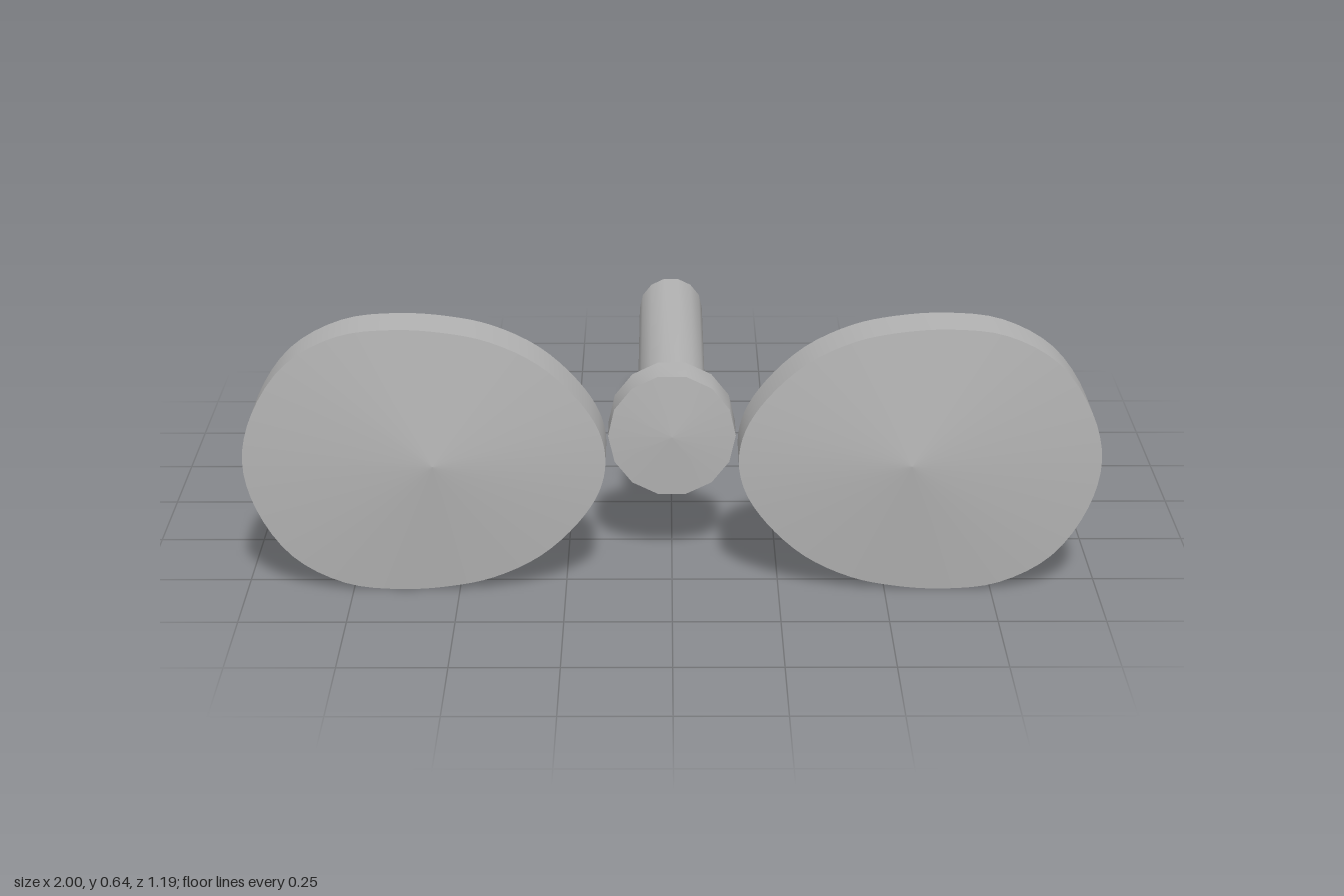
import * as THREE from 'three';
import { mergeGeometries } from 'three/addons/utils/BufferGeometryUtils.js';

const MID_Y = 0.325;

// Skins scaled copies of an outline from front to back; each band keeps its own
// normals, so bands are smooth around and creased where they meet.
// Sections are [scale, z].
function loft(outline, sections) {
  const n = outline.length;
  const bands = [];
  for (let s = 0; s < sections.length - 1; s++) {
    const position = [];
    const index = [];
    for (const [scale, z] of [sections[s], sections[s + 1]]) {
      for (const p of outline) position.push(p.x * scale, p.y * scale, z);
    }
    for (let i = 0; i < n; i++) {
      const j = (i + 1) % n;
      if (sections[s + 1][0] > 0) index.push(i, n + i, n + j);
      if (sections[s][0] > 0) index.push(i, n + j, j);
    }
    const band = new THREE.BufferGeometry();
    band.setAttribute('position', new THREE.Float32BufferAttribute(position, 3));
    band.setIndex(index);
    band.computeVertexNormals();
    bands.push(band);
  }
  return mergeGeometries(bands);
}

// Rounded paddle outline, fuller at the outer end, relative to its apex
function paddleOutline() {
  const upper = [
    [0.445, 0], [0.418, 0.118], [0.337, 0.238], [0.215, 0.306], [0.085, 0.322],
    [-0.035, 0.314], [-0.135, 0.292], [-0.245, 0.238], [-0.335, 0.154], [-0.385, 0.075], [-0.4, 0],
  ];
  const lower = upper.slice(1, -1).reverse().map(([x, y]) => [x, -y]);
  const points = [...upper, ...lower].map(([x, y]) => new THREE.Vector3(x, y, 0));
  return new THREE.CatmullRomCurve3(points, true).getPoints(80).slice(0, -1);
}

// Regular polygon with a corner on +x
function polygon(sides) {
  return Array.from({ length: sides }, (_, i) => {
    const a = (i / sides) * Math.PI * 2;
    return new THREE.Vector2(Math.cos(a), Math.sin(a));
  });
}

export function createModel() {
  const model = new THREE.Group();
  const grey = new THREE.MeshStandardMaterial({ color: 0xb3b3b3 });
  grey.name = 'plain grey';

  const add = (name, geometry, x, z) => {
    const mesh = new THREE.Mesh(geometry, grey);
    mesh.name = name;
    mesh.position.set(x, MID_Y, z);
    model.add(mesh);
    return mesh;
  };

  // Two paddles with shallow conical faces front and back
  const paddle = loft(paddleOutline(), [[0, 0.1], [1, 0.063], [1, -0.063], [0, -0.1]]);
  add('leftPaddle', paddle, 0.555, 0.495);
  add('rightPaddle', paddle, -0.555, 0.495).rotation.y = Math.PI;

  // Knob with a slightly pointed front, tapering back to a straight shaft
  const round = polygon(14);
  add('knob', loft(round, [[0, 0.4], [0.152, 0.388], [0.152, 0.285], [0.083, 0.25]]), 0, 0);
  add('shaft', loft(round, [[0.083, 0.25], [0.083, -0.595], [0, -0.595]]), 0, 0);

  return model;
}
